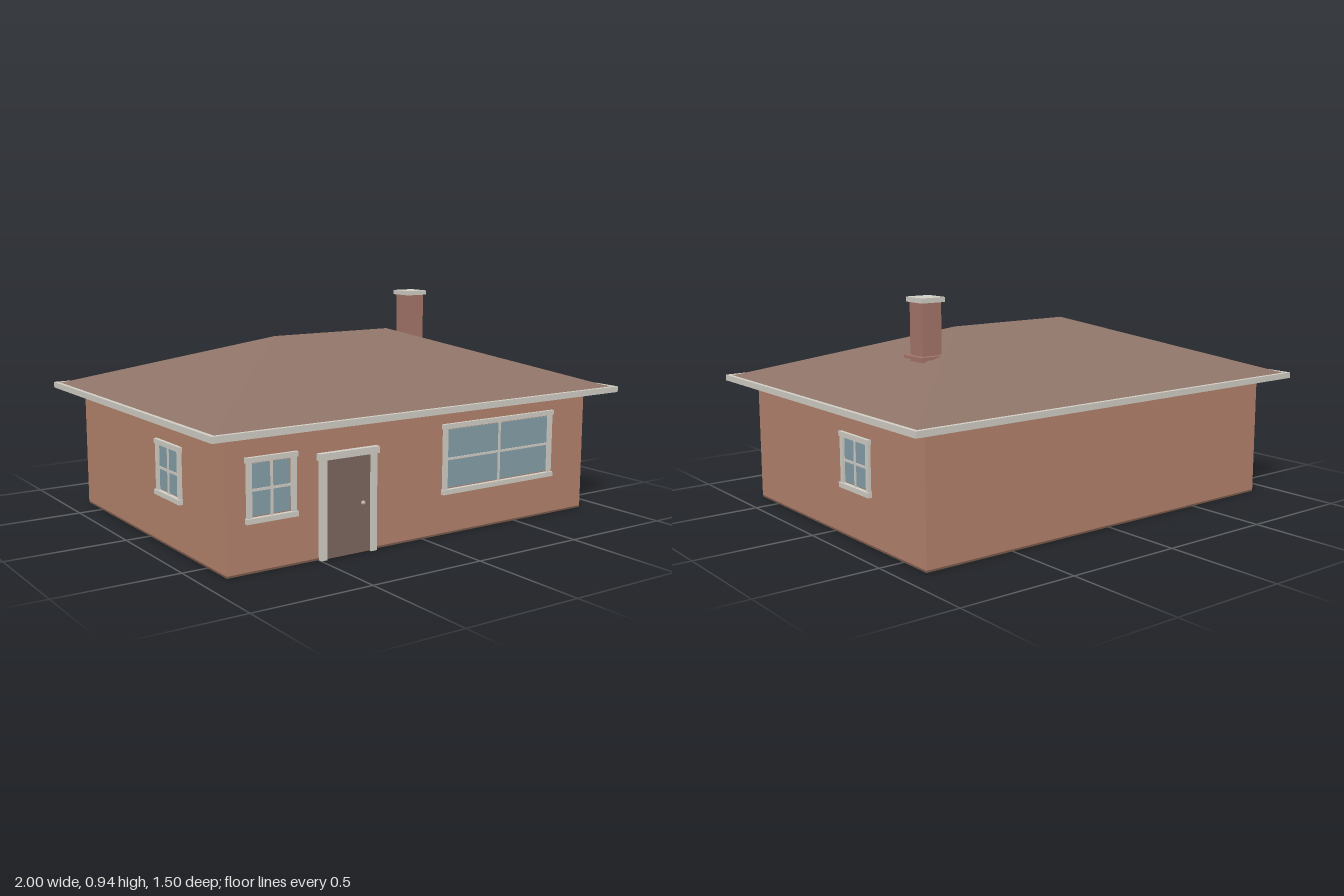
import * as THREE from 'three';

const mat = (color) => new THREE.MeshStandardMaterial({ color, flatShading: true });
const brick = mat(0xb5836d), trim = mat(0xd2cfc6), glass = mat(0x86a0aa), tile = mat(0x8f7468),
  doorPaint = mat(0x7d6861), slabMat = mat(0x7a5a4c), chimneyMat = mat(0xa5766a), metal = mat(0xb8b0a0);

// Box given by its min and max corners
function box(parent, name, material, [x0, y0, z0], [x1, y1, z1]) {
  const mesh = new THREE.Mesh(new THREE.BoxGeometry(x1 - x0, y1 - y0, z1 - z0), material);
  mesh.position.set((x0 + x1) / 2, (y0 + y1) / 2, (z0 + z1) / 2);
  mesh.name = name;
  parent.add(mesh);
  return mesh;
}

// Window facing +z, centred on its own origin with the wall plane at z = 0
function makeWindow(name, w, h) {
  const g = new THREE.Group();
  g.name = name;
  const x = w / 2, y = h / 2, t = 0.02, gap = 0.005, bar = 0.005;
  box(g, 'glass', glass, [-x + t + gap, -y + t + gap, -0.01], [x - t - gap, y - t - gap, 0.005]);
  box(g, 'sill', trim, [-x - 0.005, -y, -0.01], [x + 0.005, -y + t, 0.018]);
  box(g, 'head', trim, [-x - 0.005, y - t, -0.01], [x + 0.005, y, 0.014]);
  for (const s of [-1, 1]) {
    const c = s * (x - t / 2);
    box(g, 'sideCasing', trim, [c - t / 2, -y + t, -0.01], [c + t / 2, y - t, 0.012]);
  }
  box(g, 'verticalBar', trim, [-bar, -y + t, -0.01], [bar, y - t, 0.009]);
  box(g, 'horizontalBar', trim, [-x + t, -bar, -0.01], [x - t, bar, 0.008]);
  return g;
}

// Hip roof: rectangular eaves rising to a short ridge
function makeRoof(x, z, y0, ridge, y1) {
  const a = [-x, y0, z], b = [x, y0, z], c = [x, y0, -z], d = [-x, y0, -z];
  const l = [-ridge, y1, 0], r = [ridge, y1, 0];
  const faces = [[a, b, r], [a, r, l], [c, d, l], [c, l, r], [b, c, r], [d, a, l], [a, d, c], [a, c, b]];
  const geo = new THREE.BufferGeometry();
  geo.setAttribute('position', new THREE.Float32BufferAttribute(faces.flat(2), 3));
  geo.computeVertexNormals();
  const mesh = new THREE.Mesh(geo, tile);
  mesh.name = 'hipRoof';
  return mesh;
}

export function createModel() {
  const house = new THREE.Group();
  house.name = 'house';
  const W = 0.895, D = 0.65;

  // Walls, floor and the band under the eaves
  box(house, 'floorSlab', slabMat, [-W, 0, -D], [W, 0.008, D]);
  box(house, 'walls', brick, [-W, 0.008, -D], [W, 0.53, D]);
  box(house, 'wallBand', slabMat, [-W - 0.013, 0.515, -D - 0.013], [W + 0.013, 0.53, D + 0.013]);

  // Roof and fascia boards
  house.add(makeRoof(0.985, 0.735, 0.545, 0.295, 0.782));
  box(house, 'soffit', slabMat, [-0.985, 0.53, -0.735], [0.985, 0.545, 0.735]);
  for (const s of [-1, 1]) {
    const f = box(house, 'longFascia', trim, [-1, 0.525, 0.735], [1, 0.55, 0.752]);
    f.position.z *= s;
    const e = box(house, 'endFascia', trim, [0.983, 0.525, -0.735], [1, 0.55, 0.735]);
    e.position.x *= s;
  }

  // Chimney
  const chimney = new THREE.Group();
  chimney.name = 'chimney';
  box(chimney, 'flashing', chimneyMat, [0.497, 0.69, -0.227], [0.62, 0.703, -0.1]);
  box(chimney, 'stack', chimneyMat, [0.51, 0.66, -0.207], [0.6, 0.915, -0.118]);
  box(chimney, 'cap', trim, [0.5, 0.915, -0.219], [0.61, 0.935, -0.107]);
  house.add(chimney);

  // Front door
  const door = new THREE.Group();
  door.name = 'frontDoor';
  box(door, 'doorLeaf', doorPaint, [-0.473, 0.002, D - 0.02], [-0.27, 0.39, D + 0.012]);
  box(door, 'jamb', trim, [-0.5, 0, D - 0.02], [-0.473, 0.39, D + 0.02]);
  box(door, 'jamb', trim, [-0.27, 0, D - 0.02], [-0.242, 0.39, D + 0.02]);
  box(door, 'lintel', trim, [-0.508, 0.388, D - 0.02], [-0.234, 0.415, D + 0.024]);
  const knob = new THREE.Mesh(new THREE.SphereGeometry(0.009, 12, 8), metal);
  knob.name = 'doorKnob';
  knob.position.set(-0.308, 0.2, D + 0.02);
  door.add(knob);
  house.add(door);

  // Windows: name, width, height, position, turn about y
  const windows = [
    ['smallFrontWindow', 0.21, 0.245, [-0.708, 0.314, D], 0],
    ['wideFrontWindow', 0.6, 0.29, [0.398, 0.316, D], 0],
    ['leftWindow', 0.21, 0.225, [W, 0.312, -0.178], Math.PI / 2],
    ['rightWindow', 0.21, 0.225, [-W, 0.312, 0.2], -Math.PI / 2],
  ];
  for (const [name, w, h, p, turn] of windows) {
    const win = makeWindow(name, w, h);
    win.position.set(...p);
    win.rotation.y = turn;
    house.add(win);
  }
  return house;
}
